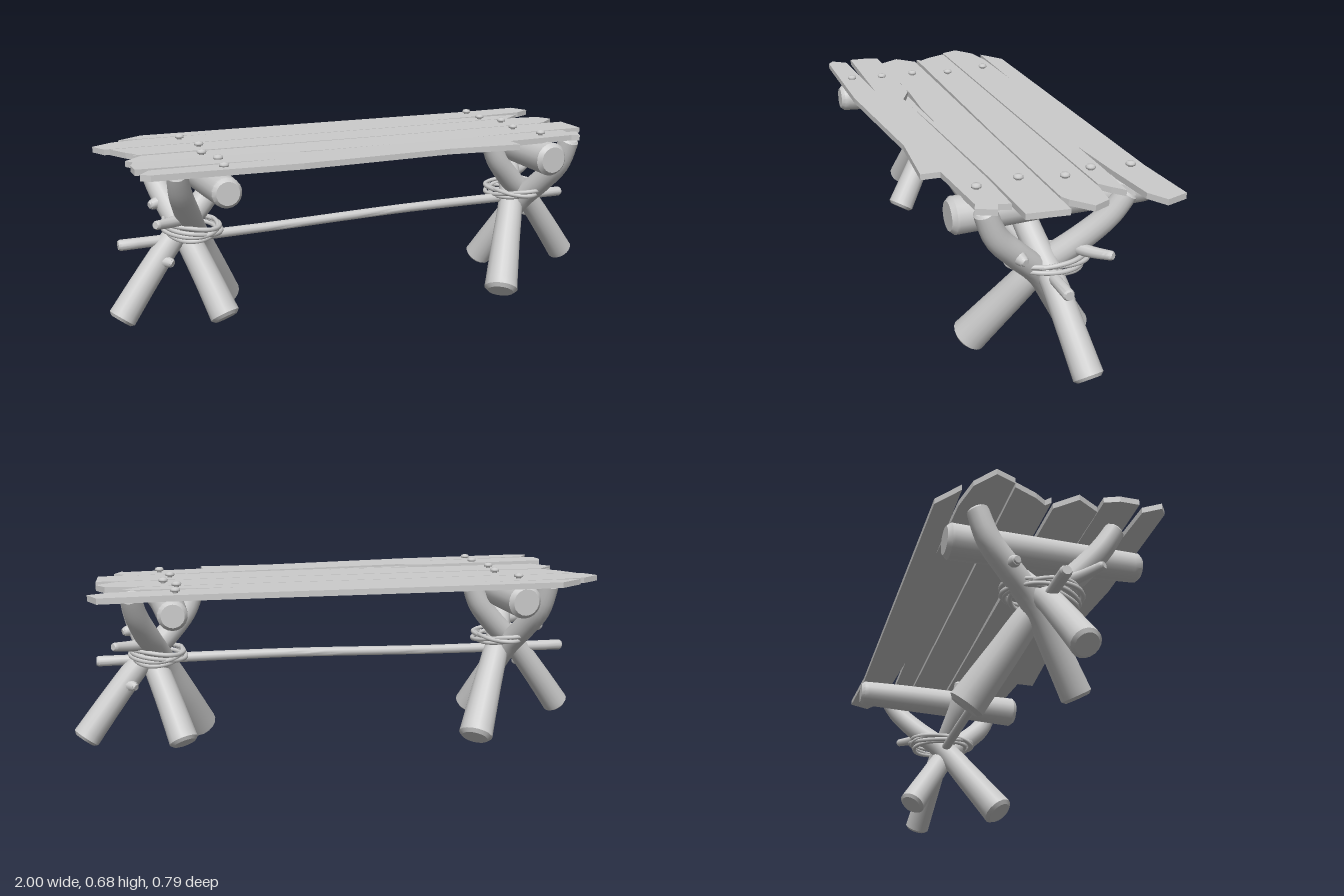
import * as THREE from 'three';
import { toCreasedNormals } from 'three/addons/utils/BufferGeometryUtils.js';

const material = new THREE.MeshStandardMaterial({ color: 0xcccccc });

function addMesh(parent, name, geometry) {
  const mesh = new THREE.Mesh(geometry, material);
  mesh.name = name;
  parent.add(mesh);
  return mesh;
}

// Log swept along [x, y, z, radius] stations, with bevelled flat ends.
function logGeometry(stations, sides = 18, bevel = 0.2) {
  const curve = new THREE.CatmullRomCurve3(stations.map(s => new THREE.Vector3(s[0], s[1], s[2])));
  const steps = 24;
  const frames = curve.computeFrenetFrames(steps, false);
  const length = curve.getLength();
  const endR = [stations[0][3], stations[stations.length - 1][3]];
  const rings = [];
  const radiusAt = t => {
    const f = t * (stations.length - 1), i = Math.min(Math.floor(f), stations.length - 2);
    return THREE.MathUtils.lerp(stations[i][3], stations[i + 1][3], f - i);
  };
  const centre = (i, inset) => curve.getPoint(i / steps).addScaledVector(frames.tangents[i], inset);
  rings.push([0, 0, 0], [0, 0, endR[0] * 0.78], [0, endR[0] * bevel, endR[0]]);
  for (let i = 1; i < steps; i++) {
    const t = i / steps;
    if (t * length > endR[0] * 0.4 && (1 - t) * length > endR[1] * 0.4) rings.push([i, 0, radiusAt(t)]);
  }
  rings.push([steps, -endR[1] * bevel, endR[1]], [steps, 0, endR[1] * 0.78], [steps, 0, 0]);

  const pos = [], index = [];
  rings.forEach(([i, inset, r], k) => {
    const c = centre(i, inset);
    for (let j = 0; j < sides; j++) {
      const a = j / sides * Math.PI * 2;
      const p = c.clone()
        .addScaledVector(frames.normals[i], Math.cos(a) * r)
        .addScaledVector(frames.binormals[i], Math.sin(a) * r);
      pos.push(p.x, p.y, p.z);
      if (k === rings.length - 1) continue;
      const p0 = k * sides + j, p1 = k * sides + (j + 1) % sides;
      if (k > 0) index.push(p0, p1, p0 + sides);
      if (k < rings.length - 2) index.push(p1, p1 + sides, p0 + sides);
      if (k === 0) index.push(p1, p1 + sides, p0 + sides);
    }
  });
  const g = new THREE.BufferGeometry();
  g.setAttribute('position', new THREE.Float32BufferAttribute(pos, 3));
  g.setIndex(index);
  return toCreasedNormals(g, 0.7);
}

// One rope turn, an oval that wanders slightly in height.
function ropeGeometry(y, rx, rz, tiltX, tiltZ, phase) {
  const pts = [];
  for (let i = 0; i < 16; i++) {
    const a = i / 16 * Math.PI * 2;
    const wobble = 1 + 0.05 * Math.sin(3 * a + phase);
    const c = Math.cos(a), s = Math.sin(a);
    pts.push(new THREE.Vector3(0.685 + c * rx * wobble, y + c * tiltX + s * tiltZ + 0.005 * Math.sin(2 * a + phase),
      -0.012 + s * rz * wobble));
  }
  return new THREE.TubeGeometry(new THREE.CatmullRomCurve3(pts, true), 64, 0.0085, 8, true);
}

function createTrestle() {
  const g = new THREE.Group();
  // Three crossed legs whose upper ends fork around the beam
  addMesh(g, 'innerLeg', logGeometry([
    [0.51, 0.045, 0.21, 0.066], [0.59, 0.21, 0.105, 0.057], [0.67, 0.37, 0.0, 0.048],
    [0.725, 0.48, -0.12, 0.045], [0.765, 0.57, -0.2, 0.041], [0.785, 0.652, -0.25, 0.036]]));
  addMesh(g, 'middleLeg', logGeometry([
    [0.605, 0.08, -0.155, 0.055], [0.65, 0.22, -0.07, 0.05], [0.70, 0.36, 0.02, 0.046],
    [0.74, 0.46, 0.12, 0.045], [0.765, 0.54, 0.195, 0.043], [0.78, 0.65, 0.243, 0.038]]));
  addMesh(g, 'outerLeg', logGeometry([
    [0.965, 0.088, -0.055, 0.052], [0.86, 0.225, -0.03, 0.048], [0.75, 0.36, -0.005, 0.044],
    [0.645, 0.46, 0.022, 0.045], [0.57, 0.55, 0.042, 0.043], [0.53, 0.648, 0.05, 0.037]]));
  // Branch stubs
  addMesh(g, 'branchStub', logGeometry([
    [0.71, 0.452, -0.08, 0.026], [0.78, 0.45, -0.125, 0.02], [0.85, 0.458, -0.175, 0.016]], 10, 0.4));
  addMesh(g, 'branchKnot', logGeometry([
    [0.74, 0.475, 0.13, 0.035], [0.78, 0.462, 0.118, 0.023], [0.808, 0.458, 0.11, 0.016]], 10, 0.4));
  addMesh(g, 'branchKnot', logGeometry([
    [0.82, 0.29, -0.03, 0.028], [0.785, 0.285, -0.055, 0.02], [0.77, 0.28, -0.07, 0.015]], 10, 0.4));
  // Cross beam under the planks
  addMesh(g, 'crossBeam', logGeometry([
    [0.65, 0.598, -0.39, 0.052], [0.648, 0.596, -0.2, 0.057], [0.65, 0.594, 0, 0.059],
    [0.654, 0.59, 0.17, 0.061], [0.656, 0.588, 0.322, 0.064]], 18, 0.25));
  // Rope lashing
  [[0.385, 0.09, 0.115, 0.0, 0.012, 0], [0.398, 0.097, 0.13, -0.008, 0.004, 1.3],
    [0.411, 0.098, 0.135, 0.006, -0.008, 2.5], [0.405, 0.1, 0.14, 0.012, 0.01, 4]]
    .forEach(turn => addMesh(g, 'ropeLashing', ropeGeometry(...turn)));
  return g;
}

// Plank outlines as [x, z], with splits running in from the ends
const planks = {
  backPlank: [[-0.77, -0.385], [0.64, -0.38], [0.9, -0.395], [0.93, -0.315], [0.86, -0.275], [0.64, -0.255],
    [0.4, -0.24], [0.64, -0.235], [0.82, -0.225], [0.78, -0.19], [0.74, -0.16], [-0.95, -0.16],
    [-0.98, -0.23], [-0.9, -0.285], [-0.78, -0.305], [-0.47, -0.309], [-0.87, -0.316]],
  innerBackPlank: [[-0.93, -0.154], [0.76, -0.154], [0.87, -0.14], [0.9, -0.08], [0.83, -0.02], [0.8, -0.005],
    [0.2, -0.004], [-0.88, -0.014], [-0.86, -0.03], [-0.89, -0.07]],
  innerFrontPlank: [[-0.85, 0.002], [0.9, 0.002], [0.89, 0.148], [0.6, 0.152], [0.02, 0.178], [-0.3, 0.196],
    [-0.37, 0.168], [-0.2, 0.168], [0.04, 0.16], [-0.2, 0.162], [-0.4, 0.151], [-0.87, 0.151], [-0.92, 0.07]],
  frontPlank: [[-0.91, 0.159], [-0.4, 0.159], [-0.31, 0.202], [0.6, 0.16], [0.8, 0.158], [0.79, 0.2], [0.83, 0.215],
    [0.8, 0.28], [0.77, 0.268], [0.48, 0.29], [0.48, 0.36], [0.2, 0.34], [-0.38, 0.385], [-0.9, 0.382],
    [-0.93, 0.36], [-0.89, 0.305], [-0.43, 0.285], [-0.93, 0.278], [-0.93, 0.21]],
};

export function createModel() {
  const model = new THREE.Group();

  // Two matching trestles, one turned half way round
  for (const side of ['left', 'right']) {
    const trestle = createTrestle();
    trestle.name = side + 'Trestle';
    if (side === 'right') trestle.rotation.y = Math.PI;
    model.add(trestle);
  }

  // Long pole joining the trestles
  addMesh(model, 'stretcherPole', logGeometry([
    [-0.95, 0.352, 0.005, 0.021], [-0.4, 0.358, 0, 0.018], [0.2, 0.372, 0, 0.018], [0.91, 0.372, 0, 0.02]], 12, 0.4));

  // Table top
  for (const [name, outline] of Object.entries(planks)) {
    const shape = new THREE.Shape(outline.map(([x, z]) => new THREE.Vector2(x, -z)));
    const g = new THREE.ExtrudeGeometry(shape, { depth: 0.021, bevelEnabled: false });
    g.rotateX(-Math.PI / 2);
    const plank = addMesh(model, name, g);
    plank.position.y = name === 'frontPlank' ? 0.653 : 0.648;
    if (name === 'frontPlank') plank.rotation.z = -0.008;
  }

  // Nails with rounded heads
  const nail = new THREE.LatheGeometry([[0.009, 0], [0.009, 0.016], [0.0165, 0.018], [0.0175, 0.024], [0.013, 0.03], [0, 0.032]]
    .map(([r, y]) => new THREE.Vector2(r, y)), 12);
  [[-0.65, -0.25], [-0.62, -0.08], [-0.65, 0.07], [-0.63, 0.21], [-0.645, 0.335],
    [0.635, -0.33], [0.62, -0.19], [0.66, -0.08], [0.625, 0.07], [0.655, 0.225]]
    .forEach(([x, z]) => addMesh(model, 'nail', nail).position.set(x, x < 0 && z > 0.2 ? 0.662 : 0.657, z));

  return model;
}
